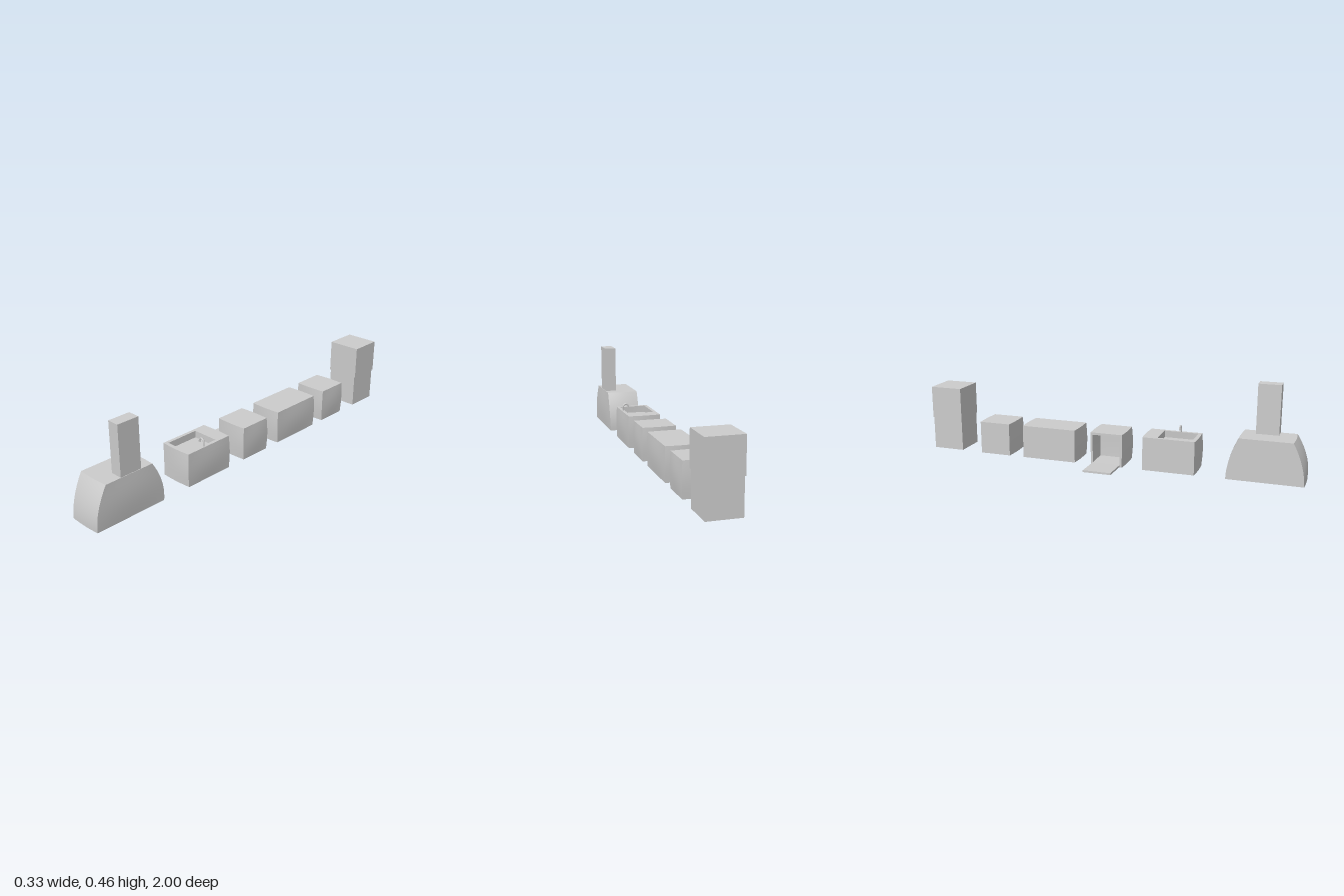
import * as THREE from 'three';
import { toCreasedNormals } from 'three/addons/utils/BufferGeometryUtils.js';

const material = new THREE.MeshStandardMaterial({ color: 0xcccccc });
const X0 = -0.017, X1 = 0.155, H = 0.172; // shared cabinet depth and height

function add(parent, name, geometry) {
  const mesh = new THREE.Mesh(geometry, material);
  mesh.name = name;
  parent.add(mesh);
  return mesh;
}

// Box given by its limits, optionally subdivided for bending
function box(x0, x1, y0, y1, z0, z1, n = 1) {
  return new THREE.BoxGeometry(x1 - x0, y1 - y0, z1 - z0, n, n, n)
    .translate((x0 + x1) / 2, (y0 + y1) / 2, (z0 + z1) / 2);
}

// Rectangle outline with points along each edge so that it can bend
function outline(Type, a0, a1, b0, b1, n = 10) {
  const corners = [[a0, b0], [a1, b0], [a1, b1], [a0, b1]];
  const points = [];
  corners.forEach(([a, b], i) => {
    const [c, d] = corners[(i + 1) % 4];
    for (let k = 0; k < n; k++) {
      points.push(new THREE.Vector2(a + (c - a) * k / n, b + (d - b) * k / n));
    }
  });
  return new Type(points);
}

// Gentle swelling of the ends and wall side; taper narrows the top in z
function swell(geometry, z0, z1, height = H, taper = 0) {
  const p = geometry.attributes.position;
  const mid = (z0 + z1) / 2, half = (z1 - z0) / 2;
  for (let i = 0; i < p.count; i++) {
    const u = THREE.MathUtils.clamp((p.getX(i) - X0) / (X1 - X0), 0, 1);
    const v = THREE.MathUtils.clamp(p.getY(i) / height, 0, 1);
    const w = THREE.MathUtils.clamp((p.getZ(i) - mid) / half, -1, 1);
    const bow = 0.005 * Math.sin(Math.PI * v) * u + 0.004 * Math.sin(Math.PI * u);
    const narrow = taper * Math.pow(v, 1.9);
    p.setZ(i, mid + w * (half - narrow) + Math.pow(w, 5) * bow);
    p.setX(i, p.getX(i) + 0.006 * Math.pow(u, 4) * Math.sin(Math.PI * v) * (1 - w * w * 0.6));
  }
  return toCreasedNormals(geometry, 0.5);
}

function cabinet(parent, name, z0, z1) {
  add(parent, name, swell(box(X0, X1, 0, H, z0, z1, 10), z0, z1));
}

function openOven(parent) {
  const oven = new THREE.Group();
  oven.name = 'openOven';
  const z0 = -0.08, z1 = 0.088, back = 0.11;
  // Frame around the cavity, extruded along x
  const shape = outline(THREE.Shape, -z1, -z0, 0, H);
  shape.holes.push(outline(THREE.Path, -z1 + 0.011, -z0 - 0.011, 0.012, H - 0.012));
  const frame = new THREE.ExtrudeGeometry(shape, { depth: back - X0, steps: 8, bevelEnabled: false })
    .rotateY(Math.PI / 2).translate(X0, 0, 0);
  add(oven, 'ovenFrame', swell(frame, z0, z1));
  add(oven, 'ovenBack', swell(box(back, X1, 0, H, z0, z1, 10), z0, z1));
  // Door lowered to the floor
  const door = add(oven, 'ovenDoor', box(-0.148, 0, -0.005, 0.005, -0.073, 0.073));
  door.position.set(-0.015, 0.008, 0.004);
  door.rotation.z = -0.018;
  parent.add(oven);
}

function sink(parent) {
  const unit = new THREE.Group();
  unit.name = 'sinkUnit';
  const z0 = 0.196, z1 = 0.463, floor = 0.137;
  add(unit, 'sinkCabinet', swell(box(X0, X1, 0, floor, z0, z1, 10), z0, z1));
  // Rim around the basin, extruded upward
  const shape = outline(THREE.Shape, X0, X1, -z1, -z0);
  shape.holes.push(outline(THREE.Path, 0, 0.138, -0.445, -0.27));
  const rim = new THREE.ExtrudeGeometry(shape, { depth: H - floor, steps: 4, bevelEnabled: false })
    .rotateX(-Math.PI / 2).translate(0, floor, 0);
  add(unit, 'basinRim', swell(rim, z0, z1));
  // Tap with a hooked spout
  const path = new THREE.CatmullRomCurve3([
    [0.145, 0.168], [0.145, 0.193], [0.141, 0.203], [0.131, 0.208],
    [0.121, 0.203], [0.117, 0.193], [0.117, 0.186],
  ].map(([x, y]) => new THREE.Vector3(x, y, 0.354)));
  add(unit, 'tap', new THREE.TubeGeometry(path, 24, 0.004, 10));
  const spoutEnd = add(unit, 'spoutEnd', new THREE.CircleGeometry(0.004, 10));
  spoutEnd.rotation.x = Math.PI / 2;
  spoutEnd.position.set(0.117, 0.186, 0.354);
  parent.add(unit);
}

function hood(parent) {
  const unit = new THREE.Group();
  unit.name = 'extractorHood';
  add(unit, 'hoodCanopy', swell(box(X0, X1, 0, 0.212, 0.62, 0.997, 14), 0.62, 0.997, 0.212, 0.06));
  add(unit, 'chimney', box(0.093, 0.153, 0.205, 0.463, 0.742, 0.855));
  parent.add(unit);
}

function fridge(parent) {
  const unit = new THREE.Group();
  unit.name = 'fridge';
  add(unit, 'lowerFridge', box(-0.009, 0.157, 0, 0.172, -0.998, -0.829));
  add(unit, 'upperFridge', box(-0.013, 0.163, 0.172, 0.342, -1, -0.827));
  parent.add(unit);
}

export function createModel() {
  const group = new THREE.Group();
  group.name = 'kitchenUnits';
  fridge(group);
  cabinet(group, 'smallCabinet', -0.709, -0.542);
  cabinet(group, 'wideCabinet', -0.461, -0.169);
  openOven(group);
  sink(group);
  hood(group);
  return group;
}
